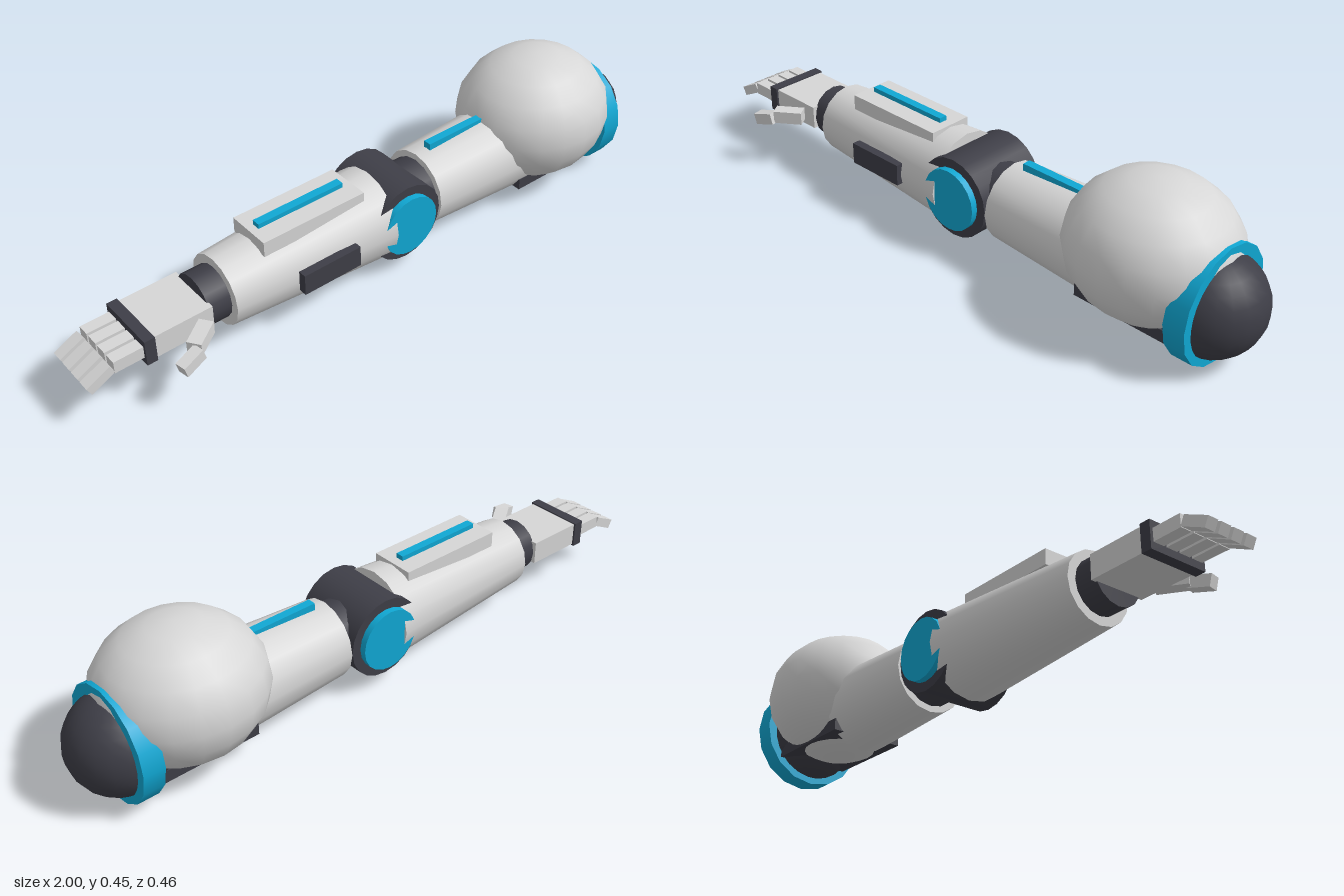
import * as THREE from 'three';

export function createModel() {
  const arm = new THREE.Group();
  arm.name = 'roboticArm';

  const mat = (name, color) => {
    const m = new THREE.MeshStandardMaterial({ color });
    m.name = name;
    return m;
  };
  const shell = mat('light grey shell', 0xd6d6d6);
  const dark = mat('dark joint', 0x3e3e47);
  const accent = mat('cyan accent', 0x10a8d4);

  const AXIS = 0.173; // height of the arm's centre line

  const add = (name, geometry, material, x, y, z = 0) => {
    const mesh = new THREE.Mesh(geometry, material);
    mesh.name = name;
    mesh.position.set(x, y, z);
    arm.add(mesh);
    return mesh;
  };
  // box given by its limits along x and y, and its centre and width along z
  const box = (name, material, x0, x1, y0, y1, z, width) =>
    add(name, new THREE.BoxGeometry(x1 - x0, y1 - y0, width), material, (x0 + x1) / 2, (y0 + y1) / 2, z);
  // tapered tube lying along the arm, radius r0 at x0 and r1 at x1
  const tube = (name, material, x0, x1, r0, r1, sides = 16) =>
    add(name, new THREE.CylinderGeometry(r0, r1, x1 - x0, sides).rotateZ(Math.PI / 2), material, (x0 + x1) / 2, AXIS);
  // joint cylinder lying across the arm
  const hinge = (name, material, r, width) =>
    add(name, new THREE.CylinderGeometry(r, r, width, 20).rotateX(Math.PI / 2), material, 0.035, AXIS);

  // shoulder
  add('shoulderBall', new THREE.SphereGeometry(0.148, 20, 14), dark, 0.85, 0.168);
  tube('shoulderRing', accent, 0.82, 0.885, 0.172, 0.172);
  const dome = add('shoulderDome', new THREE.SphereGeometry(1, 20, 10), shell, 0.655, 0.249);
  dome.scale.set(0.25, 0.206, 0.232);
  box('shoulderTrim', dark, 0.497, 0.82, 0.07, 0.107, 0, 0.24);

  // upper arm
  tube('upperArm', shell, 0.165, 0.527, 0.12, 0.138);
  box('upperArmStripe', accent, 0.21, 0.45, 0.285, 0.315, 0, 0.026);
  tube('elbowSleeve', dark, 0.08, 0.17, 0.1, 0.1);

  // elbow
  hinge('elbowJoint', dark, 0.125, 0.23);
  hinge('elbowCaps', accent, 0.096, 0.27);

  // forearm
  tube('forearm', shell, -0.555, -0.02, 0.108, 0.143);
  box('forearmHousing', shell, -0.435, -0.09, 0.27, 0.318, 0, 0.142);
  box('forearmStripe', accent, -0.41, -0.12, 0.315, 0.333, 0, 0.026);
  box('forearmPanel', dark, -0.36, -0.165, 0.143, 0.21, 0.135, 0.026);

  // wrist and palm
  tube('wrist', dark, -0.625, -0.55, 0.081, 0.081);
  box('palm', shell, -0.82, -0.62, 0.14, 0.213, 0, 0.178);
  box('knuckleBar', dark, -0.832, -0.8, 0.135, 0.217, 0, 0.19);

  // four fingers, bent down at the middle joint
  for (let i = 0; i < 4; i++) {
    const z = (i - 1.5) * 0.045;
    box('fingerBase' + (i + 1), shell, -0.92, -0.825, 0.157, 0.195, z, 0.036);
    const tip = box('fingerTip' + (i + 1), shell, -1, -0.92, 0.14, 0.17, z, 0.034);
    tip.position.set(-0.96, 0.156, z);
    tip.rotation.z = 0.46;
  }

  // thumb on the front side
  const thumbBase = box('thumbBase', shell, -0.735, -0.645, 0.157, 0.197, 0.133, 0.042);
  thumbBase.rotation.y = 0.62;
  const thumbTip = box('thumbTip', shell, -0.785, -0.715, 0.147, 0.183, 0.178, 0.034);
  thumbTip.rotation.set(0, 0.2, 0.25);

  return arm;
}
